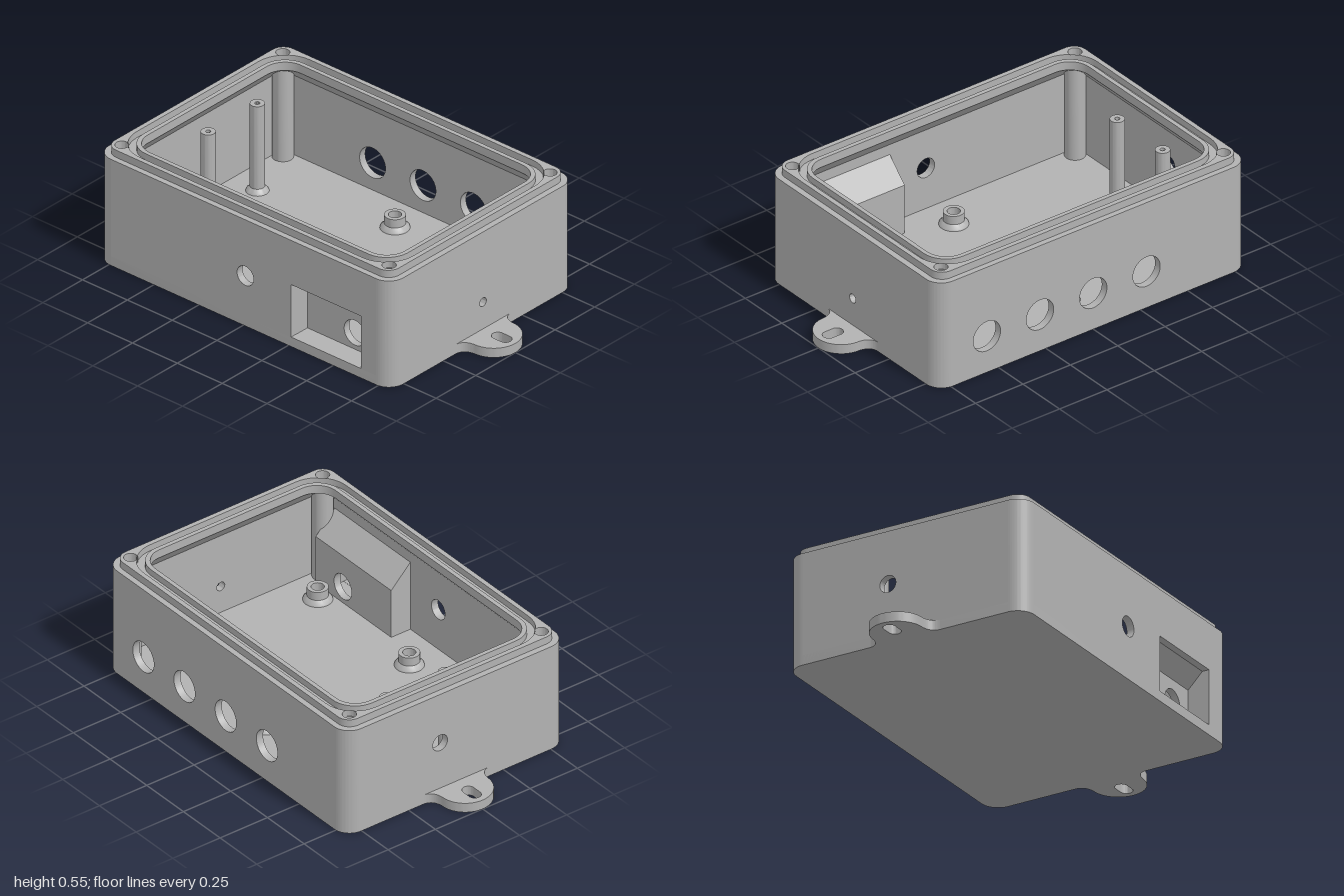
import * as THREE from 'three';
import { toCreasedNormals } from 'three/addons/utils/BufferGeometryUtils.js';

const HX = 0.583, HZ = 0.82, R = 0.08;      // outer half sizes and corner radius
const WALL = 0.035, FLOOR = 0.045, TOP = 0.515, RIM = 0.55;
const SCREW_X = 0.507, SCREW_Z = 0.745;

const plastic = new THREE.MeshStandardMaterial({ color: 0xb2b2b2 });
plastic.name = 'grey plastic';

export function createModel() {
  const model = new THREE.Group();
  model.name = 'enclosureBase';

  const add = (name, geometry, x = 0, y = 0, z = 0) => {
    const mesh = new THREE.Mesh(toCreasedNormals(geometry, 0.6), plastic);
    mesh.name = name;
    mesh.position.set(x, y, z);
    model.add(mesh);
    return mesh;
  };
  const extrude = (shape, depth) =>
    new THREE.ExtrudeGeometry(shape, { depth, bevelEnabled: false, curveSegments: 20 });
  const upright = (shape, height) => extrude(shape, height).rotateX(-Math.PI / 2);
  const circle = (x, y, r) => new THREE.Path().absarc(x, y, r, 0, Math.PI * 2, true);
  const polygon = (pts) => new THREE.Shape(pts.map(([x, y]) => new THREE.Vector2(x, y)));
  const rect = (x0, y0, x1, y1) => polygon([[x0, y0], [x1, y0], [x1, y1], [x0, y1]]);
  const lathe = (pts, n = 32) =>
    new THREE.LatheGeometry(pts.map(([r, y]) => new THREE.Vector2(r, y)), n);

  // Points of a rounded rectangle
  const roundedLoop = (hx, hz, r, n = 10) => {
    const pts = [];
    [[1, 1], [-1, 1], [-1, -1], [1, -1]].forEach(([sx, sz], q) => {
      for (let i = 0; i <= n; i++) {
        const a = (q + i / n) * Math.PI / 2;
        pts.push([sx * (hx - r) + r * Math.cos(a), sz * (hz - r) + r * Math.sin(a)]);
      }
    });
    return pts;
  };

  // Surface through rounded rectangles given as [halfX, halfZ, radius, y]
  const loft = (sections) => {
    const pos = [], index = [];
    let n = 0;
    sections.forEach(([hx, hz, r, y]) => {
      const loop = roundedLoop(hx, hz, r);
      n = loop.length;
      loop.forEach(([x, z]) => pos.push(x, y, z));
    });
    for (let s = 0; s < sections.length - 1; s++) {
      for (let j = 0; j < n; j++) {
        const a = s * n + j, b = s * n + (j + 1) % n;
        index.push(a, a + n, b, b, a + n, b + n);
      }
    }
    const g = new THREE.BufferGeometry();
    g.setAttribute('position', new THREE.Float32BufferAttribute(pos, 3));
    g.setIndex(index);
    g.computeVertexNormals();
    return g;
  };

  // Floor slab
  add('floor', upright(polygon(roundedLoop(HX, HZ, R)), FLOOR));

  // Side walls with their openings, drawn as seen from outside
  const wall = (name, half, dist, turn, holes) => {
    const shape = rect(-half, 0, half, TOP);
    shape.holes.push(...holes);
    add(name, extrude(shape, WALL).translate(0, 0, dist - WALL).rotateY(turn));
  };
  const P = { z0: 0.265, z1: 0.655, y1: 0.3 };   // connector recess opening
  wall('frontWall', HX - R, HZ, 0, [circle(0, 0.175, 0.021)]);
  wall('backWall', HX - R, HZ, Math.PI, [circle(-0.085, 0.272, 0.039)]);
  wall('rightSideWall', HZ - R, HX, Math.PI / 2,
    [-0.561, -0.281, 0, 0.281].map((u) => circle(u, 0.177, 0.072)));
  wall('leftSideWall', HZ - R, HX, -Math.PI / 2,
    [circle(0.01, 0.243, 0.046), rect(P.z0, FLOOR + 0.001, P.z1, P.y1)]);

  // Rounded wall corners and screw posts
  [[1, -1], [-1, -1], [-1, 1], [1, 1]].forEach(([sx, sz], i) => {
    const corner = new THREE.Shape();
    corner.absarc(0, 0, R, 0, Math.PI / 2, false);
    corner.absarc(0, 0, R - WALL, Math.PI / 2, 0, true);
    add('wallCorner', upright(corner, TOP).rotateY(i * Math.PI / 2),
      sx * (HX - R), 0, sz * (HZ - R));
    add('screwPost', lathe([[0.046, FLOOR], [0.046, 0.5]]), sx * SCREW_X, 0, sz * SCREW_Z);
    add('screwHole', lathe([[0.03, RIM], [0.03, 0.43], [0, 0.43]]),
      sx * SCREW_X, 0, sz * SCREW_Z);
  });

  // Raised rim: outer step, flat top with screw holes, seal groove, sloped underside
  add('rimStep', loft([
    [HX, HZ, R, TOP], [0.557, 0.792, 0.058, TOP], [0.557, 0.792, 0.058, RIM],
  ]));
  const band = polygon(roundedLoop(0.557, 0.792, 0.058));
  band.holes.push(polygon(roundedLoop(0.535, 0.77, 0.15)));
  for (const sx of [-1, 1]) {
    for (const sz of [-1, 1]) band.holes.push(circle(sx * SCREW_X, sz * SCREW_Z, 0.03));
  }
  add('rimTop', new THREE.ShapeGeometry(band, 16).rotateX(-Math.PI / 2), 0, RIM, 0);
  add('rimGroove', loft([
    [0.535, 0.77, 0.15, RIM], [0.535, 0.77, 0.15, 0.52],
    [0.497, 0.737, 0.117, 0.52], [0.497, 0.737, 0.117, RIM],
    [0.477, 0.717, 0.1, RIM], [0.477, 0.717, 0.1, 0.51],
    [HX - WALL, HZ - WALL, R - WALL, 0.43],
  ]));

  // Mounting ears with slots
  const ear = new THREE.Shape();
  ear.moveTo(-0.17, 0.8);
  ear.lineTo(-0.17, HZ);
  ear.quadraticCurveTo(-0.125, 0.825, -0.12, 0.88);
  ear.absarc(0, 0.88, 0.12, Math.PI, 0, true);
  ear.quadraticCurveTo(0.125, 0.825, 0.17, HZ);
  ear.lineTo(0.17, 0.8);
  const slot = new THREE.Path();
  slot.absarc(0, 0.945, 0.028, 0, Math.PI, false);
  slot.absarc(0, 0.903, 0.028, Math.PI, Math.PI * 2, false);
  ear.holes.push(slot);
  add('backEar', upright(ear, FLOOR));
  add('frontEar', upright(ear, FLOOR).rotateY(Math.PI));

  // Short board standoffs with flared feet
  for (const x of [-0.381, 0.381]) {
    for (const z of [-0.008, 0.616]) {
      add('standoff', lathe([
        [0.064, FLOOR], [0.062, 0.052], [0.046, 0.068], [0.046, 0.108],
        [0.028, 0.108], [0.028, 0.05], [0, 0.05],
      ]), x, 0, z);
    }
  }

  // Tall thin posts near the back
  for (const x of [-0.082, 0.228]) {
    add('tallPost', lathe([
      [0.05, FLOOR], [0.045, 0.055], [0.032, 0.068], [0.032, 0.468],
      [0.011, 0.468], [0.011, 0.4], [0, 0.4],
    ]), x, 0, -0.64);
  }

  // Connector recess housing inside the left side wall
  const Z0 = 0.2, Z1 = 0.715, XB = -0.48, XI = -0.447;
  const back = rect(Z0, FLOOR, Z1, 0.28);
  back.holes.push(circle(0.53, 0.125, 0.06));
  add('recessBack', extrude(back, XI - XB).translate(0, 0, -XB - (XB - XI) - (XI - XB) * 2)
    .rotateY(-Math.PI / 2));
  add('recessRoof', extrude(polygon([
    [-0.55, P.y1], [XB, 0.23], [XB, 0.28], [XI, 0.28], [-0.55, 0.383],
  ]), Z1 - Z0), 0, 0, Z0);
  const cheek = polygon([[-0.55, FLOOR], [XI, FLOOR], [XI, 0.28], [-0.55, 0.383]]);
  add('recessCheek', extrude(cheek, P.z0 - Z0), 0, 0, Z0);
  add('recessCheek', extrude(cheek, Z1 - P.z1), 0, 0, P.z1);

  return model;
}
